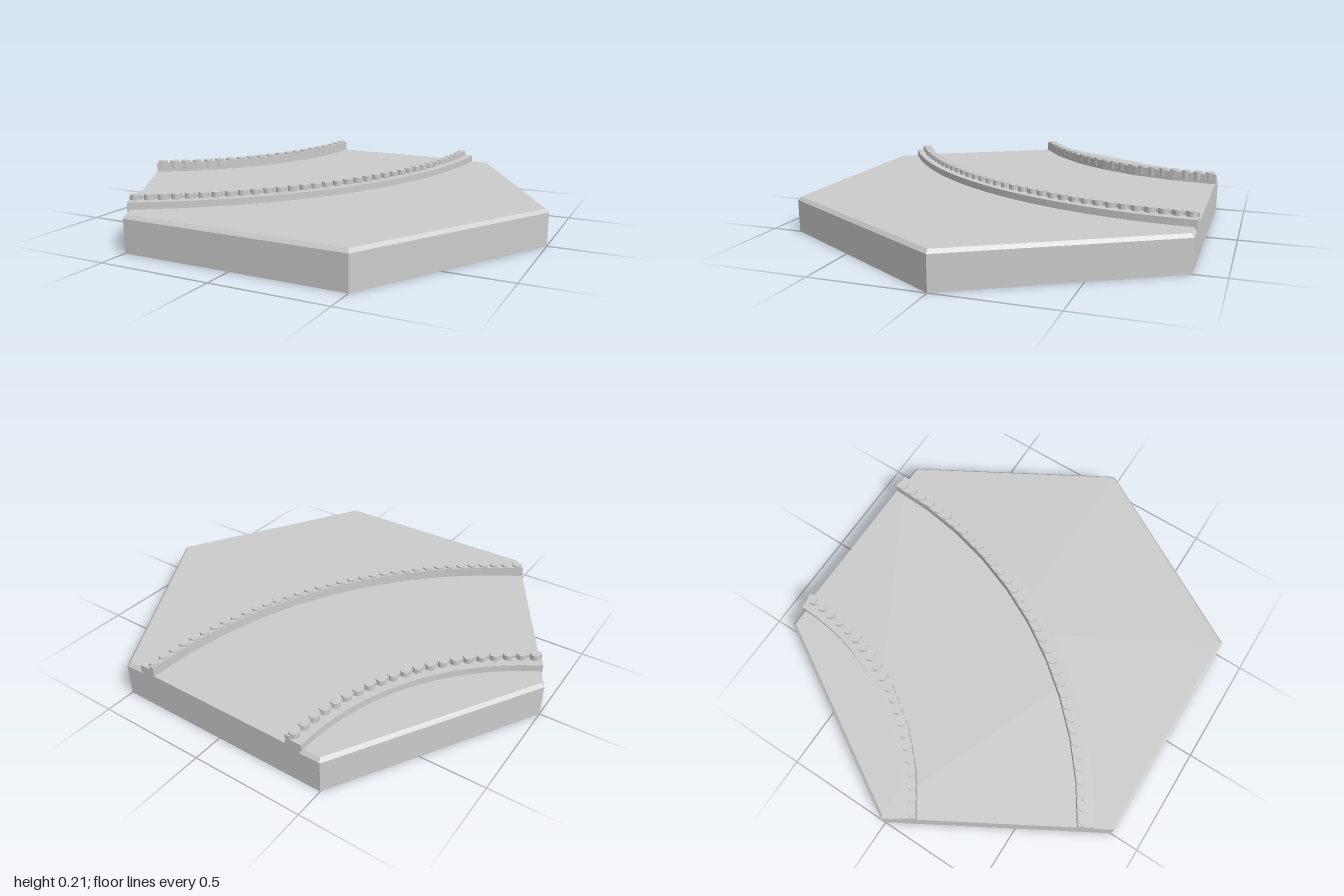
import * as THREE from 'three';
import { mergeGeometries } from 'three/addons/utils/BufferGeometryUtils.js';

const SWEEP = Math.PI / 3;
const APOTHEM = Math.sqrt(3) / 2;

export function createModel() {
  const model = new THREE.Group();
  model.name = 'curvedRoadTile';
  const solid = new THREE.MeshStandardMaterial({ color: 0xcccccc, flatShading: true });
  const thin = new THREE.MeshStandardMaterial({ color: 0xcccccc, flatShading: true, side: THREE.DoubleSide });

  function add(parent, name, geometry, material = solid) {
    const mesh = new THREE.Mesh(geometry, material);
    mesh.name = name;
    parent.add(mesh);
    return mesh;
  }

  // Slab following the bend, between two radii and two heights
  function sector(r0, r1, y0, y1, segments) {
    const points = [];
    for (let i = 0; i <= segments; i++) {
      const a = (SWEEP * i) / segments;
      points.push(new THREE.Vector2(r1 * Math.cos(a), r1 * Math.sin(a)));
    }
    for (let i = segments; i >= 0; i--) {
      const a = (SWEEP * i) / segments;
      points.push(new THREE.Vector2(r0 * Math.cos(a), r0 * Math.sin(a)));
    }
    const geometry = new THREE.ExtrudeGeometry(new THREE.Shape(points), { depth: y1 - y0, bevelEnabled: false });
    return geometry.rotateX(Math.PI / 2).translate(0, y1, 0);
  }

  // Hollow hexagonal base, open underneath, with a chamfered top edge
  const base = new THREE.Group();
  base.name = 'base';
  model.add(base);
  const ring = (top, bottom, y0, y1) =>
    new THREE.CylinderGeometry(top, bottom, y1 - y0, 6, 1, true, Math.PI / 2).translate(0, (y0 + y1) / 2, 0);
  add(base, 'sideWalls', ring(1, 1, 0, 0.145), thin);
  add(base, 'chamfer', ring(0.985, 1, 0.145, 0.16), thin);
  add(base, 'topPlate', new THREE.CircleGeometry(0.985, 6).rotateX(-Math.PI / 2).translate(0, 0.16, 0), thin);

  // The bend turns about the point where the two road edges of the hexagon meet
  const bend = new THREE.Group();
  bend.name = 'bend';
  bend.position.set(-1.5, 0, -APOTHEM);
  model.add(bend);
  add(bend, 'road', sector(1.09, 1.912, 0.145, 0.161, 48));

  // Kerb: low ledge, straight blocks on the road side and a row of round studs
  function kerb(name, radius, away, blockCount, studCount) {
    const group = new THREE.Group();
    group.name = name;
    bend.add(group);
    const span = (a, b) => [radius + away * a, radius + away * b].sort((p, q) => p - q);
    add(group, 'ledge', sector(...span(0, 0.052), 0.158, 0.19, 40));
    add(group, 'blocks', sector(...span(-0.022, 0), 0.158, 0.205, blockCount));
    const studs = [];
    for (let i = 0; i < studCount; i++) {
      const a = (SWEEP * (i + 0.5)) / studCount;
      const stud = new THREE.CylinderGeometry(0.022, 0.022, 0.04, 14);
      studs.push(stud.translate(radius * Math.cos(a), 0.193, radius * Math.sin(a)));
    }
    add(group, 'studs', mergeGeometries(studs));
  }
  kerb('outerKerb', 1.86, 1, 10, 35);
  kerb('innerKerb', 1.135, -1, 6, 21);

  return model;
}
